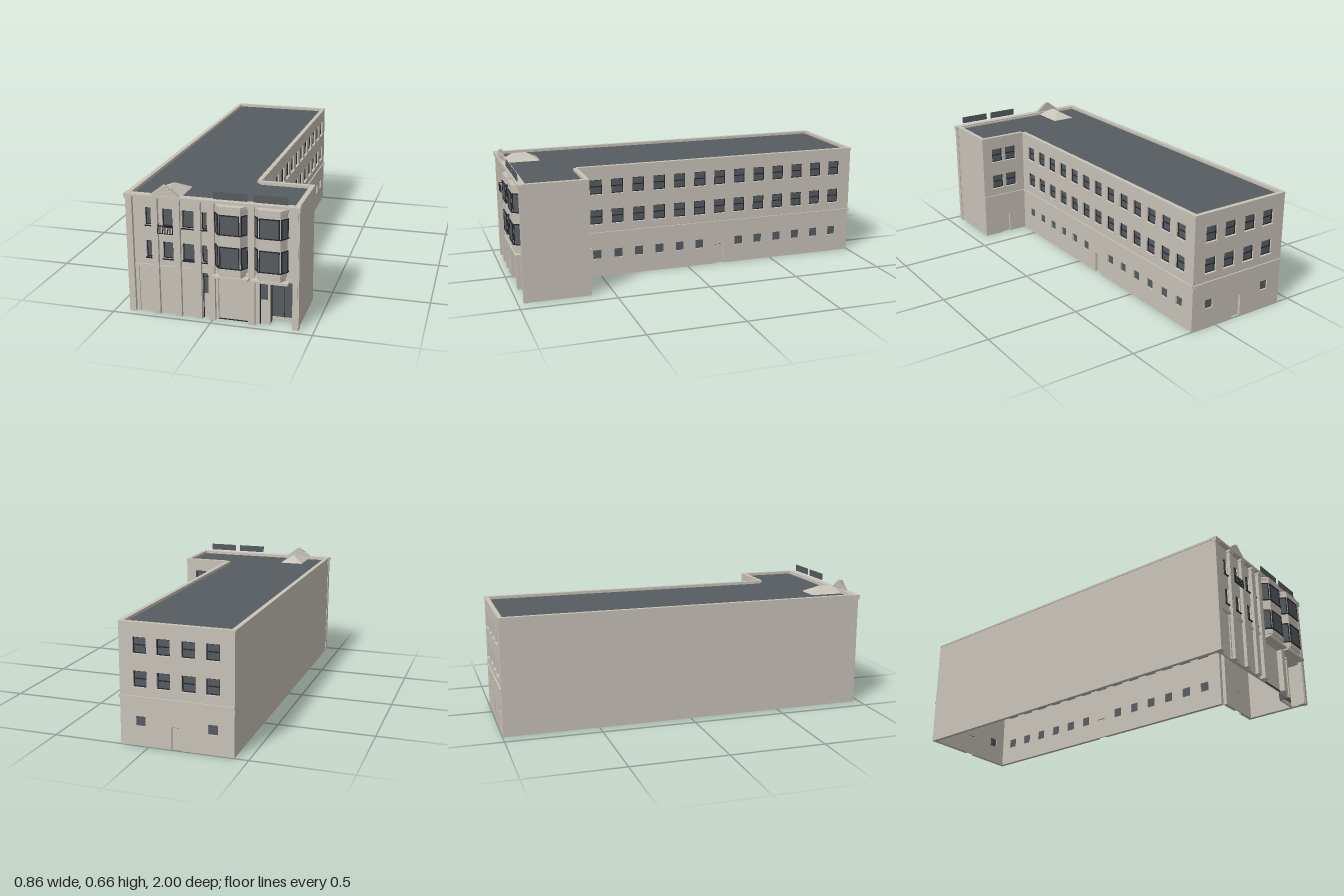
import * as THREE from 'three';
import { ConvexGeometry } from 'three/addons/geometries/ConvexGeometry.js';

const stone = new THREE.MeshStandardMaterial({ name: 'stone', color: 0xc8c3b9 });
const slate = new THREE.MeshStandardMaterial({ name: 'slate and glass', color: 0x575c60, side: THREE.DoubleSide });
const dark = new THREE.MeshStandardMaterial({ name: 'dark frame', color: 0x26272e });

const T = 0.02; // wall thickness
const H = 0.605; // wall height

function add(parent, name, geo, mat) {
  const mesh = new THREE.Mesh(geo, mat);
  mesh.name = name;
  parent.add(mesh);
  return mesh;
}

// Box given by its minimum and maximum on each axis
function box(parent, name, mat, x0, x1, y0, y1, z0, z1) {
  const geo = new THREE.BoxGeometry(x1 - x0, y1 - y0, z1 - z0);
  geo.translate((x0 + x1) / 2, (y0 + y1) / 2, (z0 + z1) / 2);
  return add(parent, name, geo, mat);
}

// Upright prism over a plan of [x, z] points
function prism(parent, name, mat, plan, y0, y1) {
  const shape = new THREE.Shape(plan.map(([x, z]) => new THREE.Vector2(x, -z)));
  const geo = new THREE.ExtrudeGeometry(shape, { depth: y1 - y0, bevelEnabled: false });
  geo.rotateX(-Math.PI / 2).translate(0, y0, 0);
  return add(parent, name, geo, mat);
}

// Group whose local x runs from p to q and whose local z points outwards
function facing(parent, name, [px, pz], [qx, qz]) {
  const g = new THREE.Group();
  g.name = name;
  g.position.set(px, 0, pz);
  g.rotation.y = Math.atan2(pz - qz, qx - px);
  g.userData.length = Math.hypot(qx - px, qz - pz);
  parent.add(g);
  return g;
}

// Rectangular dark frame around an opening
function frame(parent, x0, x1, y0, y1, z0, z1, t) {
  box(parent, 'frameLeft', dark, x0, x0 + t, y0, y1, z0, z1);
  box(parent, 'frameRight', dark, x1 - t, x1, y0, y1, z0, z1);
  box(parent, 'frameTop', dark, x0, x1, y1 - t, y1, z0, z1);
  box(parent, 'frameBottom', dark, x0, x1, y0, y0 + t, z0, z1);
}

// Wall with openings [x0, x1, y0, y1]; those starting at the ground become notches
function wall(parent, name, p, q, openings) {
  const g = facing(parent, name, p, q);
  const L = g.userData.length;
  const shape = new THREE.Shape();
  shape.moveTo(0, 0);
  openings.filter((o) => o[2] === 0).sort((a, b) => a[0] - b[0]).forEach(([a, b, , h]) => {
    shape.lineTo(a, 0).lineTo(a, h).lineTo(b, h).lineTo(b, 0);
  });
  shape.lineTo(L, 0).lineTo(L, H).lineTo(0, H);
  openings.filter((o) => o[2] > 0).forEach(([a, b, c, d]) => {
    shape.holes.push(new THREE.Path().moveTo(a, c).lineTo(a, d).lineTo(b, d).lineTo(b, c));
  });
  const geo = new THREE.ExtrudeGeometry(shape, { depth: T, bevelEnabled: false });
  add(g, name + 'Panel', geo.translate(0, 0, -T), stone);
  return g;
}

function sashWindow(g, [a, b, c, d], sash, sillMat) {
  box(g, 'windowGlass', slate, a, b, c, d, -0.017, -0.012);
  frame(g, a, b, c, d, -0.012, -0.008, 0.004);
  if (sash) box(g, 'sashBar', dark, a, b, (c + d) / 2 - 0.002, (c + d) / 2 + 0.003, -0.012, -0.008);
  box(g, 'windowSill', sillMat, a - 0.003, b + 0.003, c - 0.005, c, -0.012, 0.006);
}

// Plain elevation: two rows of sash windows, small ground windows and a door
function plainWall(parent, name, p, q, columns, ground, doorAt) {
  const upper = columns.flatMap((u) => [[u - 0.034, u + 0.034, 0.46, 0.54], [u - 0.034, u + 0.034, 0.295, 0.375]]);
  const lower = ground.map((u) => [u - 0.024, u + 0.024, 0.1, 0.15]);
  const door = [doorAt - 0.026, doorAt + 0.026, 0, 0.114];
  const g = wall(parent, name, p, q, [...upper, ...lower, door]);
  upper.forEach((o) => sashWindow(g, o, true, stone));
  lower.forEach((o) => box(g, 'groundWindow', slate, o[0], o[1], o[2], o[3], -0.015, -0.008));
  box(g, 'doorLeaf', stone, door[0], door[1], 0, 0.11, -0.02, -0.013);
  box(g, 'doorHead', dark, door[0], door[1], 0.11, 0.114, -0.015, -0.008);
  box(g, 'stringCourse', stone, 0, g.userData.length, 0.236, 0.25, 0, 0.007);
}

// Angled bay window centred on x = cx
function bayWindow(parent, cx) {
  const bay = new THREE.Group();
  bay.name = 'bayWindow';
  bay.position.x = cx;
  parent.add(bay);
  const plan = (w, f, z) => [[-w, 0.945], [w, 0.945], [w, 0.955], [f, z], [-f, z], [-w, 0.955]];
  const bands = [[0.243, 0.262, 0.068], [0.262, 0.288, 0.074], [0.288, 0.398, 0.08],
    [0.398, 0.455, 0.075], [0.455, 0.555, 0.08], [0.555, 0.578, 0.075], [0.578, 0.594, 0.08]];
  bands.forEach(([y0, y1, w]) => prism(bay, 'bayBody', stone, plan(w, 0.052, w > 0.07 ? 0.994 : 0.988), y0, y1));
  for (const [y0, y1] of [[0.288, 0.398], [0.455, 0.555]]) {
    prism(bay, 'baySill', dark, plan(0.083, 0.054, 0.999), y0, y0 + 0.005);
    const corners = [[-0.08, 0.955], [-0.052, 0.994], [0.052, 0.994], [0.08, 0.955]];
    for (let i = 0; i < 3; i++) {
      const g = facing(bay, 'bayPane', corners[i], corners[i + 1]);
      const L = g.userData.length;
      box(g, 'bayGlass', slate, 0.004, L - 0.004, y0, y1, 0, 0.002);
      frame(g, 0.003, L - 0.003, y0, y1, 0, 0.005, 0.005);
    }
  }
  box(bay, 'bayShelf', stone, -0.088, 0.088, 0.232, 0.243, 0.945, 0.995);
  // dark panel standing above the parapet
  box(bay, 'roofPanel', slate, -0.082, 0.082, 0.62, 0.657, 0.966, 0.97);
}

function frontElevation(parent) {
  const X0 = -0.422, Z = 0.95;
  const columns = [[-0.332, -0.299], [-0.246, -0.195], [-0.147, -0.085], [-0.05, -0.024]];
  const windows = columns.flatMap(([a, b]) => [[a, b, 0.455, 0.543], [a, b, 0.29, 0.376]]);
  const shops = [[-0.375, -0.305, 0, 0.235], [-0.05, -0.015, 0, 0.235], [0.028, 0.181, 0, 0.232], [0.232, 0.396, 0, 0.23]];
  const local = ([a, b, c, d]) => [a - X0, b - X0, c, d];
  const g = wall(parent, 'frontWall', [X0, Z], [0.422, Z], [...windows, ...shops].map(local));
  windows.map(local).forEach((o) => sashWindow(g, o, false, dark));

  // pilasters with capitals
  for (const x of [-0.409, -0.281, -0.17, -0.067, 0, 0.196, 0.411]) {
    box(parent, 'pilaster', stone, x - 0.016, x + 0.016, 0, 0.6, Z - 0.01, 0.967);
    box(parent, 'capital', stone, x - 0.019, x + 0.019, 0.588, 0.604, Z, 0.973);
  }
  box(parent, 'frontStringCourse', stone, X0, 0.396, 0.24, 0.253, Z, 0.957);
  box(parent, 'cornice', stone, -0.43, 0.428, 0.6, 0.612, 0.937, 0.975);

  // blank door panels
  box(parent, 'sidePanel', stone, -0.375, -0.305, 0, 0.235, 0.936, 0.944);
  box(parent, 'wideShutter', stone, 0.028, 0.181, 0, 0.232, 0.93, 0.938);
  box(parent, 'shutterThreshold', dark, 0.028, 0.181, 0, 0.004, 0.938, 0.942);

  // narrow shop window
  box(parent, 'narrowGlass', slate, -0.05, -0.015, 0.125, 0.235, 0.93, 0.936);
  box(parent, 'narrowTransom', dark, -0.05, -0.015, 0.212, 0.215, 0.936, 0.94);
  box(parent, 'narrowEdge', dark, -0.05, -0.047, 0, 0.235, 0.936, 0.942);
  box(parent, 'narrowStallriser', stone, -0.05, -0.015, 0, 0.125, 0.93, 0.938);

  // shopfront with set-back entrance
  box(parent, 'shopGlass', slate, 0.232, 0.274, 0.125, 0.23, 0.93, 0.936);
  box(parent, 'shopTransom', dark, 0.232, 0.274, 0.213, 0.216, 0.936, 0.94);
  box(parent, 'shopStallriser', stone, 0.232, 0.274, 0, 0.125, 0.93, 0.938);
  box(parent, 'shopEdge', dark, 0.232, 0.235, 0, 0.23, 0.936, 0.942);
  box(parent, 'shopPost', stone, 0.272, 0.282, 0, 0.23, 0.925, 0.944);
  box(parent, 'entranceSide', slate, 0.275, 0.281, 0, 0.23, 0.885, 0.925);
  box(parent, 'entranceGlass', slate, 0.281, 0.4, 0.02, 0.23, 0.88, 0.886);
  box(parent, 'entranceMullion', dark, 0.338, 0.341, 0.02, 0.23, 0.886, 0.889);
  box(parent, 'entranceTransom', dark, 0.281, 0.4, 0.213, 0.216, 0.886, 0.889);
  box(parent, 'entrancePlinth', stone, 0.281, 0.4, 0, 0.02, 0.88, 0.889);
  box(parent, 'entranceCeiling', stone, 0.275, 0.4, 0.23, 0.236, 0.88, 0.935);

  [0.099, 0.291].forEach((x) => bayWindow(parent, x));

  // balcony railing
  for (const y of [0.464, 0.424]) box(parent, 'railingBar', dark, -0.264, -0.186, y, y + 0.003, 0.972, 0.975);
  for (let i = 0; i < 10; i++) {
    const x = -0.264 + i * 0.0084;
    box(parent, 'railingBaluster', dark, x, x + 0.0024, 0.424, 0.466, 0.972, 0.975);
  }
  for (const x of [-0.264, -0.188]) box(parent, 'railingReturn', dark, x, x + 0.0024, 0.464, 0.467, Z, 0.975);

  // stepped gable
  const steps = 11, half = [];
  for (let i = 0; i < steps; i++) {
    const w = 0.072 - i * 0.0062, y = 0.61 + i * 0.0048;
    half.push([w, y], [w, y + 0.0048]);
  }
  const outline = [...half, ...half.map(([w, y]) => [-w, y]).reverse()];
  const gable = new THREE.Shape(outline.map(([x, y]) => new THREE.Vector2(x, y)));
  const geo = new THREE.ExtrudeGeometry(gable, { depth: 0.02, bevelEnabled: false });
  add(parent, 'steppedGable', geo, stone).position.set(-0.225, 0, 0.95);
}

export function createModel() {
  const model = new THREE.Group();
  model.name = 'cornerBuilding';
  const BL = [-0.43, -0.996], FL = [-0.421, 0.966], FR = [0.421, 0.97];
  const WB = [0.421, 0.62], IN = [0.152, 0.62], BR = [0.146, -0.996];

  frontElevation(model);
  wall(model, 'wingSideWall', FR, WB, []);
  plainWall(model, 'wingBackWall', WB, IN, [0.094, 0.182], [], 0.138);
  const bays = Array.from({ length: 13 }, (_, i) => 0.1 + 0.1177 * i);
  plainWall(model, 'longSideWall', IN, BR, bays, bays.filter((_, i) => i !== 6), bays[6]);
  plainWall(model, 'backWall', BR, BL, [0.105, 0.225, 0.35, 0.47], [0.105, 0.47], 0.288);
  wall(model, 'partyWall', BL, FL, []);

  // parapet coping
  [[FR, WB], [WB, IN], [IN, BR], [BR, BL], [BL, FL]].forEach(([p, q]) => {
    const g = facing(model, 'coping', p, q);
    box(g, 'copingStone', stone, 0, g.userData.length, 0.603, 0.613, -T, 0.003);
  });

  // flat roof
  const inset = [[-0.42, -0.985], [0.135, -0.985], [0.14, 0.63], [0.41, 0.63], [0.41, 0.945], [-0.412, 0.945]];
  prism(model, 'flatRoof', slate, inset.reverse(), 0.592, 0.598);

  // small hipped roof light
  const hip = [[-0.297, 0.595, 0.75], [-0.153, 0.595, 0.75], [-0.153, 0.595, 0.943], [-0.297, 0.595, 0.943],
    [-0.225, 0.637, 0.825], [-0.225, 0.637, 0.895]].map((p) => new THREE.Vector3(...p));
  add(model, 'hippedRoof', new ConvexGeometry(hip), stone);
  return model;
}
